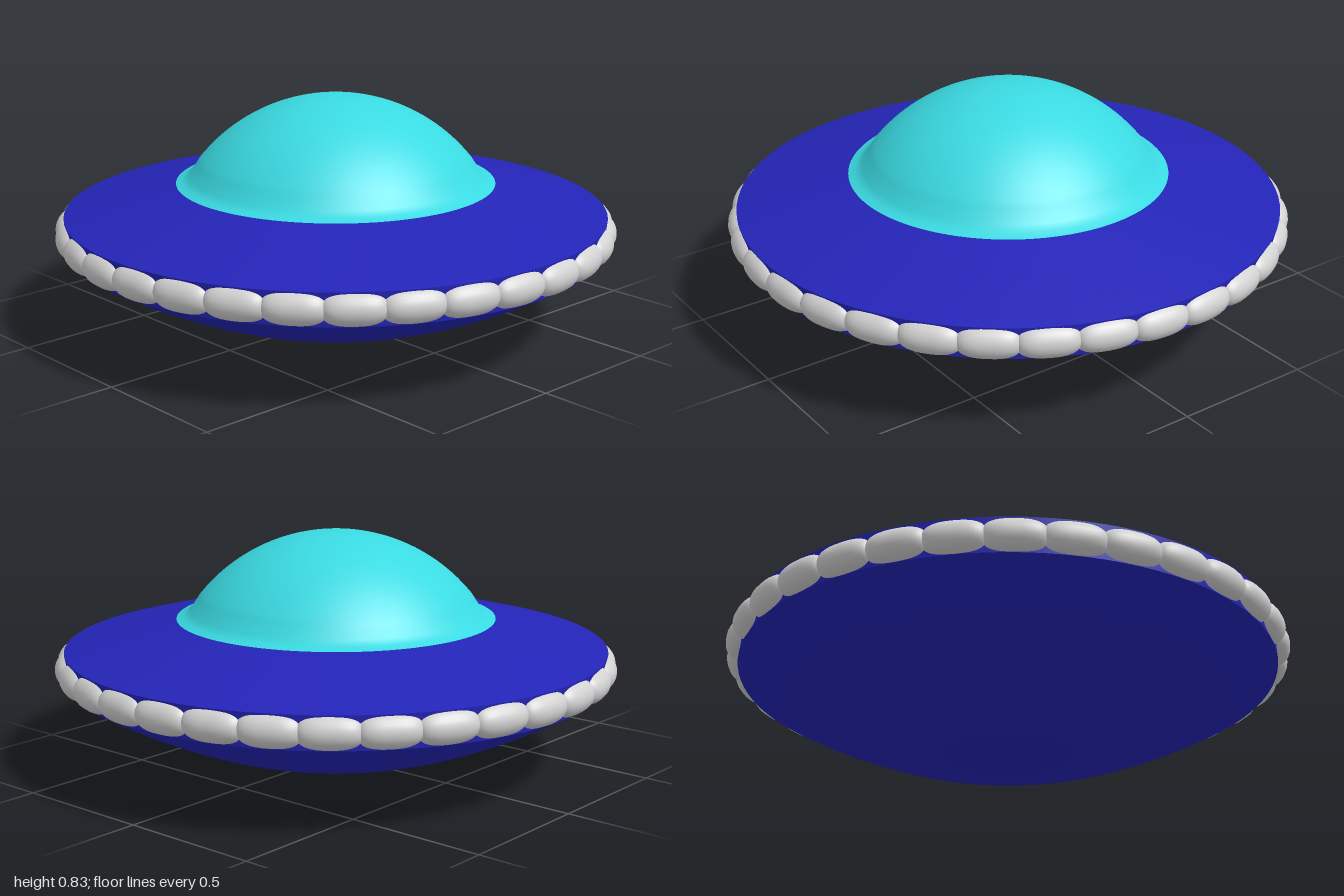
import * as THREE from 'three';

const SEGMENTS = 96;
const BEADS = 32;

function material(name, color) {
  const m = new THREE.MeshStandardMaterial({ color });
  m.name = name;
  return m;
}

// Surface of revolution; profile points [radius, y] run from bottom to top
function turned(name, points, mat) {
  const profile = points.map(([r, y]) => new THREE.Vector2(r, y));
  const mesh = new THREE.Mesh(new THREE.LatheGeometry(profile, SEGMENTS), mat);
  mesh.name = name;
  return mesh;
}

// Puffy pillow: a sphere whose long axis (x) is squared off at the ends
function beadGeometry(halfLength, halfHeight, halfDepth) {
  const geo = new THREE.SphereGeometry(1, 24, 20);
  geo.rotateZ(-Math.PI / 2);
  const p = geo.attributes.position;
  for (let i = 0; i < p.count; i++) {
    const x = p.getX(i), y = p.getY(i), z = p.getZ(i);
    const r = Math.hypot(y, z);
    const swell = r > 1e-5 ? Math.pow(r, 0.62) / r : 0;
    const along = Math.sign(x) * Math.pow(Math.abs(x), 0.8);
    p.setXYZ(i, along * halfLength, y * swell * halfHeight, z * swell * halfDepth);
  }
  geo.computeVertexNormals();
  return geo;
}

export function createModel() {
  const model = new THREE.Group();
  model.name = 'flyingSaucer';

  const blue = material('hullBlue', 0x2424b8);
  const cyan = material('domeCyan', 0x3adae2);
  const grey = material('rimGrey', 0xd2d2d2);

  // Shallow bowl underneath
  const bowl = [];
  for (let i = 0; i <= 20; i++) {
    const t = i / 20;
    bowl.push([0.955 * t, 0.305 * Math.pow(t, 1.9)]);
  }
  model.add(turned('lowerHull', bowl, blue));

  // Wall behind the beads and sloping upper deck
  model.add(turned('rimWall', [[0.955, 0.305], [0.968, 0.422]], blue));
  model.add(turned('upperHull', [[0.968, 0.422], [0.77, 0.475], [0.57, 0.524]], blue));

  // Dome: flared foot running into a spherical cap
  const dome = [[0.57, 0.524], [0.545, 0.534], [0.52, 0.551]];
  const radius = 0.63, top = 0.832;
  const start = Math.asin(0.49 / radius);
  for (let i = 0; i <= 24; i++) {
    const a = start * (1 - i / 24);
    dome.push([radius * Math.sin(a), top - radius + radius * Math.cos(a)]);
  }
  model.add(turned('dome', dome, cyan));

  // Ring of beads around the rim
  const ring = new THREE.Group();
  ring.name = 'rimBeads';
  const geo = beadGeometry(0.104, 0.059, 0.06);
  for (let i = 0; i < BEADS; i++) {
    const a = ((i + 0.5) / BEADS) * Math.PI * 2;
    const bead = new THREE.Mesh(geo, grey);
    bead.name = 'rimBead';
    bead.position.set(Math.sin(a) * 0.941, 0.364, Math.cos(a) * 0.941);
    bead.rotation.y = a;
    ring.add(bead);
  }
  model.add(ring);

  return model;
}
